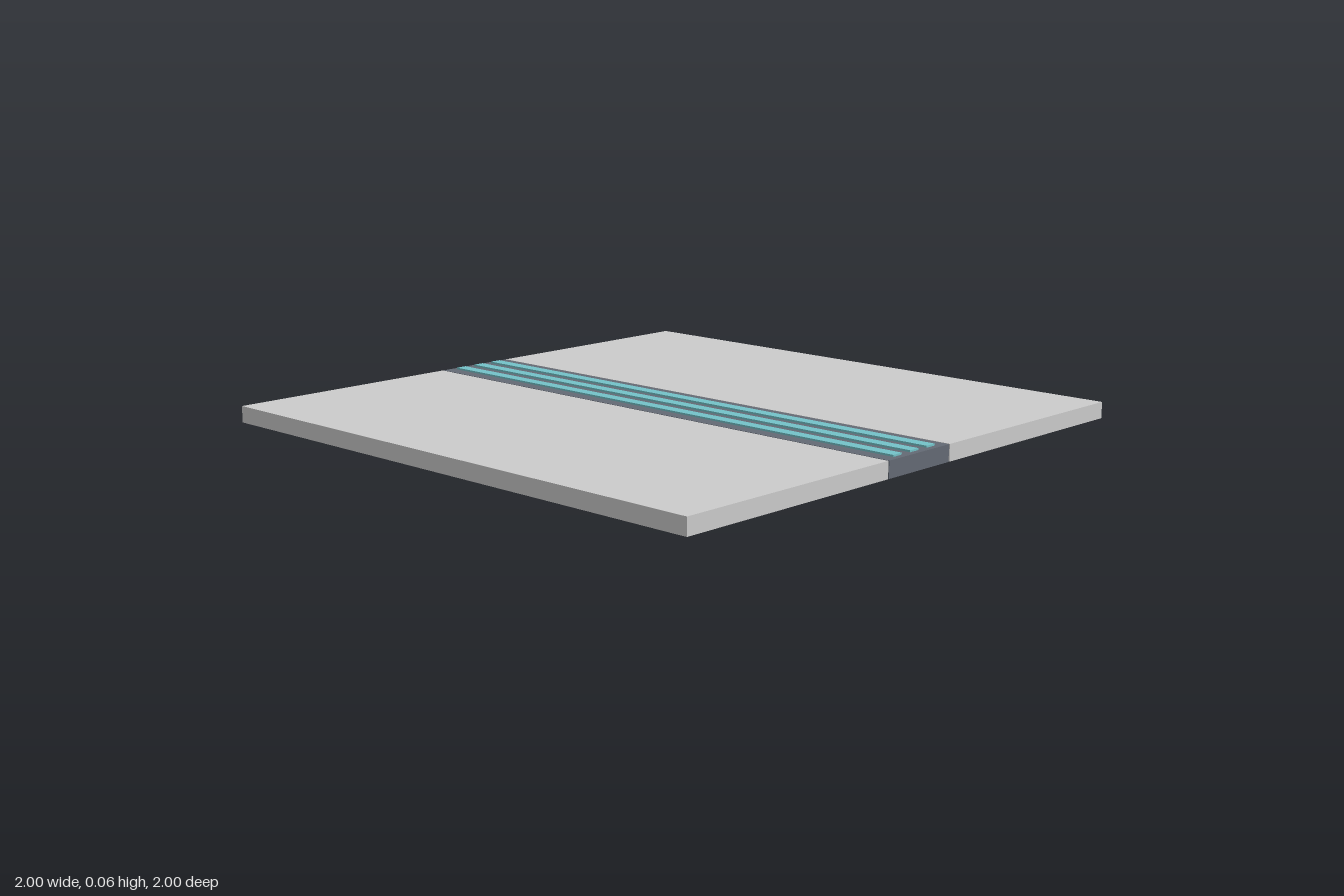
import * as THREE from 'three';

export function createModel() {
  const model = new THREE.Group();
  const grey = new THREE.MeshStandardMaterial({ color: 0xcccccc });
  const dark = new THREE.MeshStandardMaterial({ color: 0x646a75 });
  const teal = new THREE.MeshStandardMaterial({ color: 0x74c2c8 });

  // Box spanning x0..x1 and y0..y1, centred along z
  function slab(name, x0, x1, y0, y1, length, material) {
    const mesh = new THREE.Mesh(new THREE.BoxGeometry(x1 - x0, y1 - y0, length), material);
    mesh.position.set((x0 + x1) / 2, (y0 + y1) / 2, 0);
    mesh.name = name;
    model.add(mesh);
  }

  // Floor panels either side, with a hairline seam to the channel
  slab('leftFloorPanel', 0.15, 1, 0, 0.055, 2, grey);
  slab('rightFloorPanel', -1, -0.15, 0, 0.055, 2, grey);

  // Dark channel down the middle
  slab('centreChannel', -0.146, 0.146, 0, 0.055, 2, dark);

  // Raised light strips along the channel
  ['rightLightStrip', 'middleLightStrip', 'leftLightStrip'].forEach((name, i) => {
    const x = (i - 1) * 0.081;
    slab(name, x - 0.02, x + 0.02, 0.045, 0.061, 1.96, teal);
  });

  return model;
}
